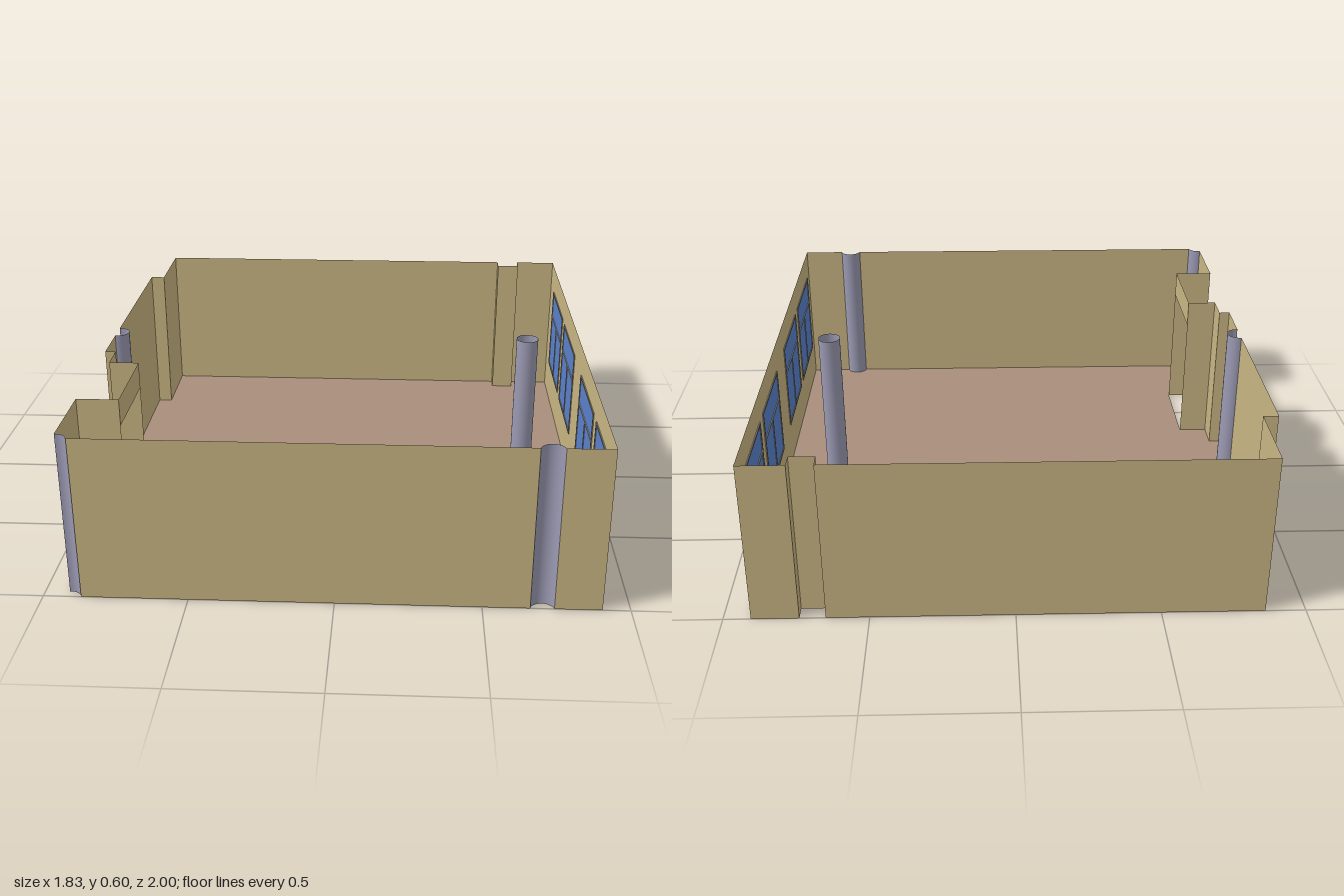
import * as THREE from 'three';

const H = 0.6, R = 0.042;
const mat = (name, color) => {
  const m = new THREE.MeshStandardMaterial({ color, side: THREE.DoubleSide });
  m.name = name;
  return m;
};

export function createModel() {
  const room = new THREE.Group();
  room.name = 'room';
  const wallMat = mat('wall tan', 0xc9b683);
  const floorMat = mat('floor brown', 0xa98f7c);
  const columnMat = mat('column grey', 0x9b9ab3);
  const glassMat = mat('window blue', 0x5b82cb);
  const frameMat = mat('frame grey', 0x989080);
  const sillMat = mat('transom light grey', 0xc4c0b8);

  const add = (parent, name, geo, m, x = 0, y = 0, z = 0) => {
    const mesh = new THREE.Mesh(geo, m);
    mesh.name = name;
    mesh.position.set(x, y, z);
    parent.add(mesh);
    return mesh;
  };

  // Thin upright sheet between two plan points
  const wall = (name, [ax, az], [bx, bz], y0 = 0, y1 = H) => {
    const geo = new THREE.PlaneGeometry(Math.hypot(bx - ax, bz - az), y1 - y0);
    const mesh = add(room, name, geo, wallMat, (ax + bx) / 2, (y0 + y1) / 2, (az + bz) / 2);
    mesh.rotation.y = -Math.atan2(bz - az, bx - ax);
  };

  // Open column, whole or only the arc that projects into the room
  const column = (name, cx, cz, t0, t1) =>
    add(room, name, new THREE.CylinderGeometry(R, R, H, 28, 1, true, t0, t1 - t0), columnMat, cx, H / 2, cz);

  const arc = (cx, cz, t0, t1) => Array.from({ length: 29 }, (_, i) => {
    const t = t0 + (t1 - t0) * i / 28;
    return [cx + R * Math.sin(t), cz + R * Math.cos(t)];
  });

  // Room outline: straight wall runs with column arcs between them
  const cutF = 1.81, cutL = 0.12;
  const columns = {
    frontColumn: [0.703, 1.01, cutF, 2 * Math.PI - cutF],
    cornerColumn: [-0.91, 1.01, cutF, Math.PI + cutL],
    sideColumn: [-0.91, 0.01, -cutL, Math.PI + cutL],
  };
  for (const [name, c] of Object.entries(columns)) column(name, ...c);
  const arcF = arc(...columns.frontColumn);
  const arcC = arc(...columns.cornerColumn);
  const arcS = arc(...columns.sideColumn);
  const backRun = [[-0.915, -0.7], [-0.86, -0.7], [-0.86, -1], [0.65, -1], [0.65, -0.945],
    [0.74, -0.945], [0.74, -1], [0.905, -1]];
  const doorRun = [[-0.915, 0.68], [-0.765, 0.68], [-0.765, 0.335], [-0.875, 0.335],
    [-0.875, 0.225], [-0.915, 0.225]];
  const runs = [
    ['backWall', [arcS[28], ...backRun]],
    ['frontWallEnd', [[0.905, 1], arcF[0]]],
    ['frontWall', [arcF[28], arcC[0]]],
    ['doorSideWall', [arcC[28], ...doorRun, arcS[0]]],
  ];
  for (const [name, pts] of runs) {
    for (let i = 0; i + 1 < pts.length; i++) {
      const lintel = pts[i] === doorRun[1];
      wall(lintel ? 'doorLintel' : name, pts[i], pts[i + 1], lintel ? 0.5 : 0);
    }
  }

  // Floor with a hole under the free-standing column
  const outline = [...backRun, [0.905, 1], ...arcF, ...arcC, ...doorRun, ...arcS];
  const floor = new THREE.Shape(outline.map(([x, z]) => new THREE.Vector2(x, -z)));
  floor.holes.push(new THREE.Path().absarc(0.703, -0.01, R, 0, Math.PI * 2, true));
  add(room, 'floor', new THREE.ShapeGeometry(floor, 28).rotateX(-Math.PI / 2), floorMat);
  column('freeColumn', 0.703, 0.01, 0, Math.PI * 2);

  // Window wall with four openings, drawn in (-z, y)
  const rect = (S, x0, x1, y0, y1) => new S([[x0, y0], [x1, y0], [x1, y1], [x0, y1]]
    .map(([x, y]) => new THREE.Vector2(x, y)));
  const y0 = 0.155, y1 = 0.5, yT = 0.386, W = 0.365;
  const centres = [0.747, 0.313, -0.257, -0.69];
  const windowWall = rect(THREE.Shape, -1, 1, 0, H);
  for (const z of centres) windowWall.holes.push(rect(THREE.Path, -z - W / 2, -z + W / 2, y0, y1));
  add(room, 'windowWall', new THREE.ShapeGeometry(windowWall).rotateY(Math.PI / 2), wallMat, 0.905);

  // Windows: pane, surround, transom and lower mullion
  const t = 0.008, d = 0.009;
  for (const z of centres) {
    const win = new THREE.Group();
    win.name = 'window';
    win.position.set(0.9055, 0, z);
    const yc = (y0 + y1) / 2, h = y1 - y0;
    add(win, 'pane', new THREE.BoxGeometry(0.003, h - t, W - t), glassMat, 0, yc, 0);
    for (const s of [-1, 1]) {
      add(win, 'frameSide', new THREE.BoxGeometry(d, h, t), frameMat, 0, yc, s * (W - t) / 2);
      add(win, 'frameRail', new THREE.BoxGeometry(d, t, W - 2 * t), frameMat, 0, yc + s * (h - t) / 2, 0);
    }
    add(win, 'transom', new THREE.BoxGeometry(d, t, W - 2 * t), sillMat, 0, yT, 0);
    add(win, 'mullion', new THREE.BoxGeometry(d, yT - y0 - 1.5 * t, t), frameMat, 0, (yT + y0 + t / 2) / 2, 0);
    room.add(win);
  }
  return room;
}
